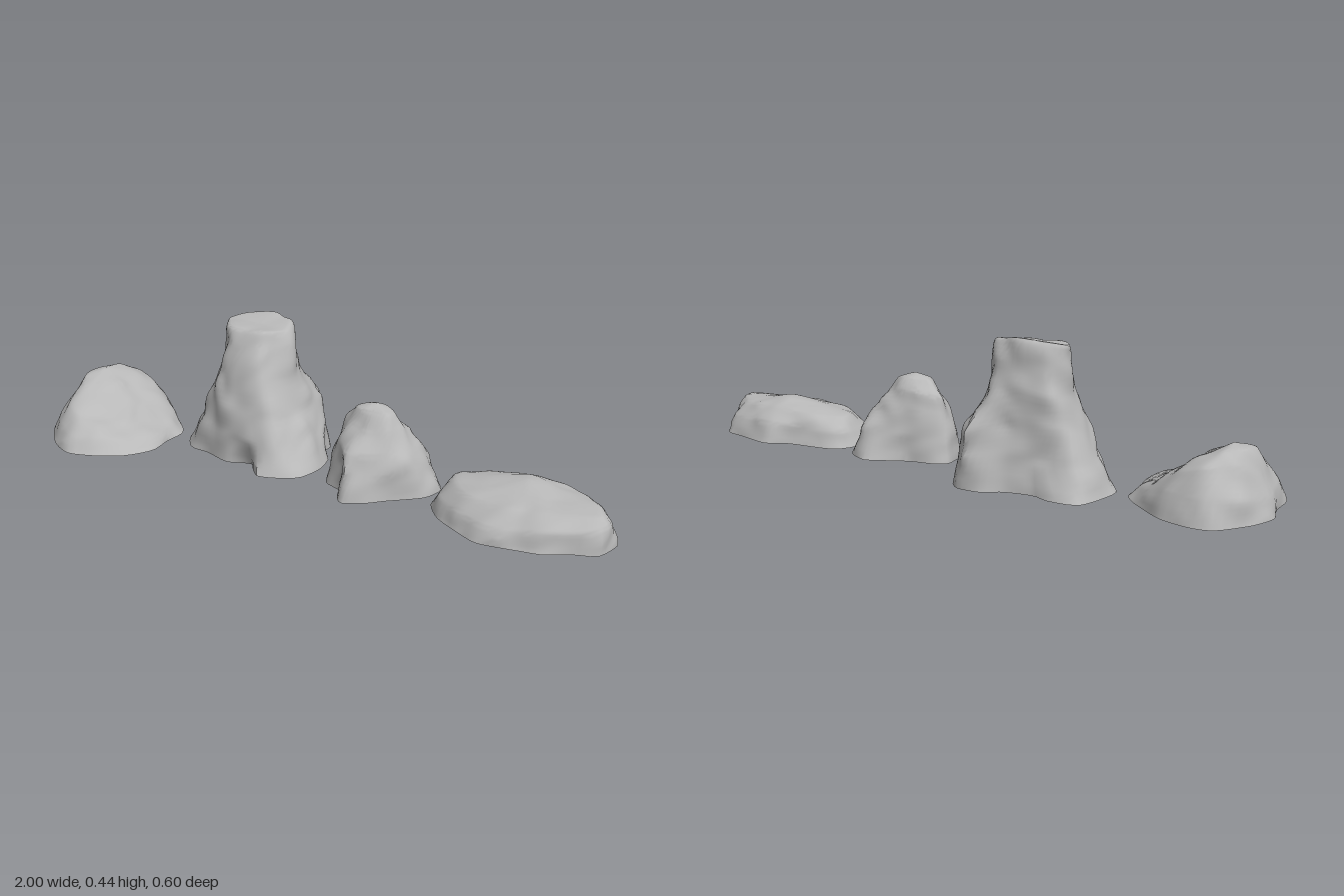
import * as THREE from 'three';
import { toCreasedNormals } from 'three/addons/utils/BufferGeometryUtils.js';

const SIDES = 72; // columns around a rock
const STEPS = 6; // rings between two contours

// Each rock: ground outline [x, z], then rising contours [x, y, z], then its summit.
const slopedRock = {
  base: [[-1, -.03], [-.98, -.12], [-.92, -.22], [-.85, -.235], [-.75, -.21], [-.62, -.12], [-.57, -.06],
    [-.56, .03], [-.54, .12], [-.58, .21], [-.66, .27], [-.75, .3], [-.85, .255], [-.95, .16], [-.97, .05]],
  contours: [
    [[-.98, .06, -.03], [-.95, .07, -.15], [-.88, .08, -.21], [-.76, .08, -.185], [-.65, .05, -.11], [-.59, .035, 0],
      [-.58, .03, .11], [-.66, .05, .22], [-.75, .05, .27], [-.85, .06, .225], [-.94, .07, .13]],
    [[-.95, .12, -.03], [-.92, .15, -.11], [-.86, .15, -.17], [-.77, .125, -.15], [-.68, .08, .05],
      [-.7, .08, .14], [-.78, .1, .205], [-.87, .12, .155], [-.93, .13, .06]],
    [[-.91, .18, -.04], [-.88, .185, -.1], [-.82, .165, -.1], [-.79, .15, -.01], [-.8, .145, .08], [-.85, .155, .1],
      [-.9, .17, .05]],
  ],
  summit: [-.87, .193, -.02],
};

const tallRock = {
  base: [[-.53, -.17], [-.51, -.24], [-.42, -.25], [-.36, -.23], [-.27, -.25], [-.22, -.29], [-.14, -.295], [-.09, -.25],
    [-.08, -.2], [-.03, -.15], [0, -.06], [-.01, .04], [-.08, .09], [-.14, .1], [-.2, .03],
    [-.28, .06], [-.38, .03], [-.46, .02], [-.53, -.06]],
  contours: [
    [[-.49, .1, -.12], [-.47, .1, -.2], [-.37, .1, -.21], [-.27, .11, -.24], [-.17, .1, -.295], [-.09, .1, -.22],
      [-.05, .1, -.08], [-.05, .07, 0], [-.1, .08, .065], [-.28, .1, .05], [-.42, .1, .005]],
    [[-.45, .18, -.11], [-.42, .2, -.19], [-.26, .19, -.225], [-.17, .17, -.285], [-.11, .18, -.2],
      [-.1, .17, -.07], [-.13, .17, .03], [-.28, .18, .04], [-.37, .18, .01], [-.43, .18, -.04]],
    [[-.41, .28, -.1], [-.39, .28, -.19], [-.3, .3, -.215], [-.2, .28, -.215], [-.135, .28, -.12],
      [-.18, .28, .005], [-.28, .28, .02], [-.36, .28, -.015]],
    [[-.4, .37, -.12], [-.37, .37, -.185], [-.22, .38, -.205], [-.15, .37, -.12], [-.21, .37, -.03], [-.32, .37, -.02]],
    [[-.4, .423, -.12], [-.36, .435, -.175], [-.28, .438, -.19], [-.21, .432, -.18], [-.175, .415, -.115],
      [-.23, .413, -.055], [-.34, .416, -.05]],
  ],
  summit: [-.28, .42, -.12],
};

const smallRock = {
  base: [[.05, -.09], [.08, -.12], [.16, -.14], [.23, -.18], [.29, -.21], [.36, -.18], [.4, -.13], [.39, -.05],
    [.31, .04], [.27, .09], [.21, .13], [.17, .09], [.15, .05], [.08, .02], [.06, -.04]],
  contours: [
    [[.06, .08, -.08], [.13, .08, -.13], [.24, .09, -.16], [.32, .09, -.175], [.37, .07, -.12], [.365, .09, -.04],
      [.33, .08, .015], [.26, .08, .075], [.2, .09, .1], [.16, .09, .05], [.09, .08, .01]],
    [[.08, .15, -.075], [.14, .16, -.12], [.31, .15, -.135], [.34, .14, -.07], [.315, .14, 0],
      [.25, .14, .06], [.19, .14, .07], [.12, .15, .01]],
    [[.1, .2, -.07], [.16, .215, -.11], [.24, .215, -.11], [.3, .205, -.07], [.285, .2, -.01], [.22, .2, .015], [.14, .205, -.015]],
    [[.14, .245, -.06], [.19, .252, -.085], [.26, .248, -.075], [.255, .245, -.035], [.19, .248, -.025]],
  ],
  summit: [.205, .266, -.055],
};

const flatRock = {
  base: [[.42, -.1], [.46, -.17], [.62, -.2], [.69, -.24], [.8, -.22], [.9, -.2], [.93, -.13], [1, -.08],
    [.99, .03], [.93, .06], [.86, .11], [.8, .125], [.68, .148], [.6, .115], [.5, .06], [.43, -.02]],
  contours: [
    [[.44, .05, -.1], [.48, .05, -.16], [.6, .06, -.18], [.7, .07, -.215], [.88, .06, -.18], [.93, .07, -.12],
      [.985, .07, -.06], [.98, .07, .02], [.87, .06, .085], [.7, .05, .125], [.6, .05, .09], [.48, .05, .02]],
    [[.48, .09, -.09], [.56, .1, -.14], [.7, .11, -.17], [.84, .1, -.15], [.93, .105, -.08], [.965, .1, -.01],
      [.85, .095, .035], [.7, .09, .065], [.56, .09, .03]],
    [[.58, .115, -.07], [.7, .13, -.11], [.8, .12, -.09], [.84, .11, -.04], [.75, .11, 0], [.64, .11, -.01]],
  ],
  summit: [.72, .133, -.07],
};

// Resample a closed contour at even angles around its middle
function ringFrom(points) {
  const pts = points.map((p) => new THREE.Vector3(...p));
  const c = pts.reduce((s, p) => s.add(p), new THREE.Vector3()).divideScalar(pts.length);
  const line = new THREE.CatmullRomCurve3(pts, true, 'catmullrom', 0.35).getPoints(240);
  const ring = [];
  for (let j = 0; j < SIDES; j++) {
    const a = (j / SIDES) * Math.PI * 2;
    const dx = Math.cos(a), dz = Math.sin(a);
    let best = null, reach = -1;
    for (let k = 0; k < 240; k++) {
      const p = line[k], q = line[k + 1];
      const sp = dx * (p.z - c.z) - dz * (p.x - c.x);
      const sq = dx * (q.z - c.z) - dz * (q.x - c.x);
      if (sp * sq > 0 || sp === sq) continue;
      const hit = p.clone().lerp(q, sp / (sp - sq));
      const r = dx * (hit.x - c.x) + dz * (hit.z - c.z);
      if (r > reach) { reach = r; best = hit; }
    }
    ring.push(best);
  }
  return ring;
}

// Irregular soft lumps in the stone
function relief(p) {
  const a = Math.sin(p.x * 31 + Math.sin(p.y * 26 + p.z * 13) * 1.6);
  const b = Math.sin(p.z * 35 + Math.sin(p.x * 22 - p.y * 17) * 1.6);
  const c = Math.sin(p.y * 38 + Math.sin(p.z * 24 + p.x * 19) * 1.6);
  return (a * b + b * c + c * a) * 0.0028;
}

function rockGeometry({ base, contours, summit }) {
  const levels = [base.map(([x, z]) => [x, 0.003, z]), ...contours].map(ringFrom);
  const top = new THREE.Vector3(...summit);
  const rows = levels.length * STEPS; // the last row is the summit point
  const positions = [], index = [];
  const columns = [];
  for (let j = 0; j < SIDES; j++) {
    const path = [...levels.map((l) => l[j]), top];
    columns.push(new THREE.CatmullRomCurve3(path, false, 'catmullrom', 0.25));
  }
  for (let i = 0; i < rows; i++) {
    for (let j = 0; j < SIDES; j++) {
      const p = columns[j].getPoint(i / rows);
      const a = (j / SIDES) * Math.PI * 2;
      const n = relief(p) * Math.min(1, i / 3, (rows - i) / STEPS);
      positions.push(p.x + Math.cos(a) * n, p.y + n * 0.5, p.z + Math.sin(a) * n);
    }
  }
  positions.push(...summit);
  for (let i = 0; i < rows; i++) {
    for (let j = 0; j < SIDES; j++) {
      const k = (j + 1) % SIDES;
      const a = i * SIDES + j, b = i * SIDES + k;
      if (i === rows - 1) index.push(a, rows * SIDES, b);
      else index.push(a, a + SIDES, b, b, a + SIDES, b + SIDES);
    }
  }
  const g = new THREE.BufferGeometry();
  g.setAttribute('position', new THREE.Float32BufferAttribute(positions, 3));
  g.setIndex(index);
  return toCreasedNormals(g, 0.8);
}

export function createModel() {
  const group = new THREE.Group();
  group.name = 'rocks';
  // Hollow shells, open underneath
  const stone = new THREE.MeshStandardMaterial({ color: 0xb8b8b8, side: THREE.DoubleSide });
  stone.name = 'grey stone';
  for (const [name, rock] of Object.entries({ slopedRock, tallRock, smallRock, flatRock })) {
    const mesh = new THREE.Mesh(rockGeometry(rock), stone);
    mesh.name = name;
    group.add(mesh);
  }
  return group;
}
